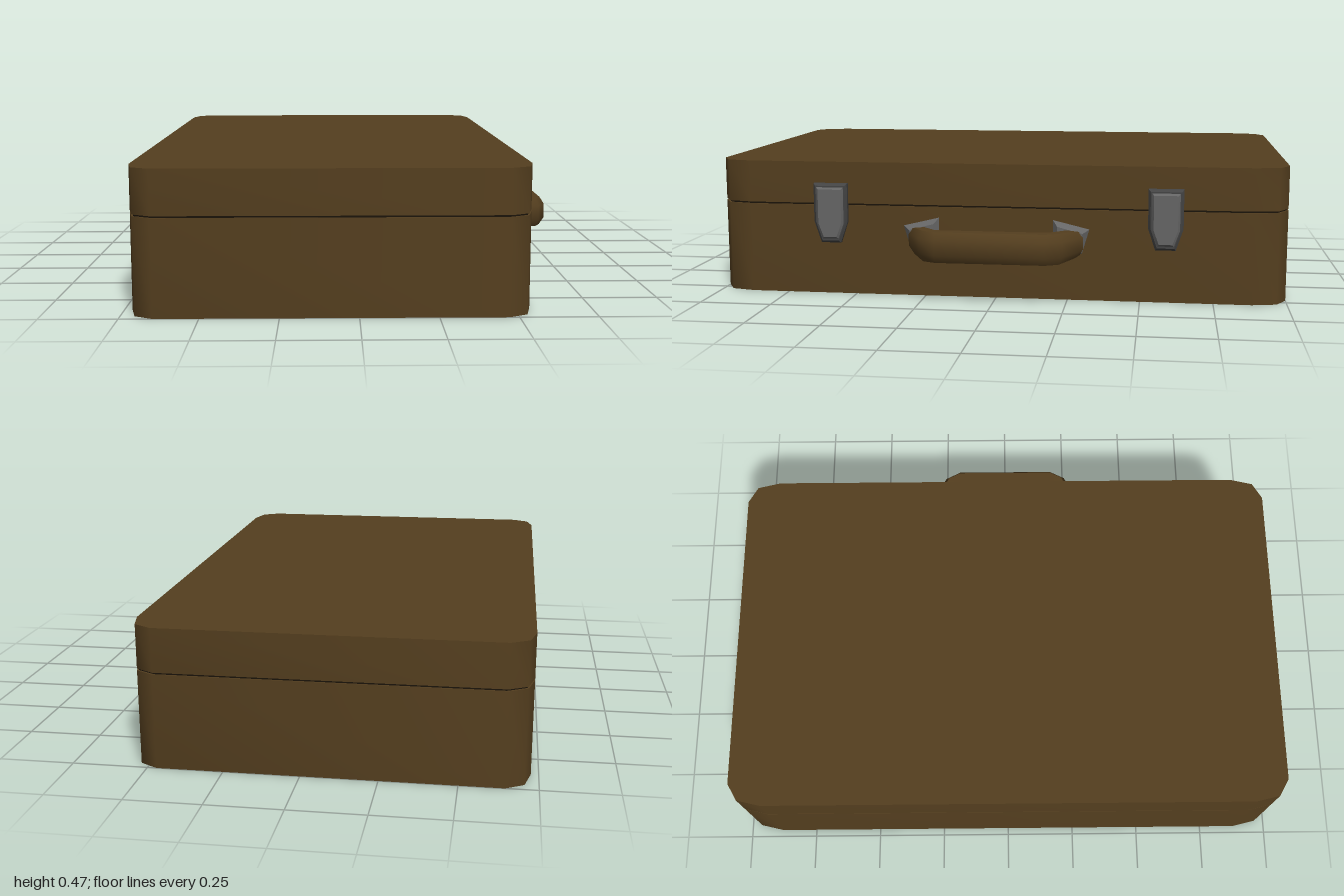
import * as THREE from 'three';
import { toCreasedNormals } from 'three/addons/utils/BufferGeometryUtils.js';

const leather = new THREE.MeshStandardMaterial({ color: 0x553f1f });
const seamDark = new THREE.MeshStandardMaterial({ color: 0x1a1309 });
const metal = new THREE.MeshStandardMaterial({ color: 0x666666 });
const darkMetal = new THREE.MeshStandardMaterial({ color: 0x444444 });

const FACE = 0.55, BACK = -0.725; // x of the handle side and the hinge side

function named(name, geometry, material) {
  const mesh = new THREE.Mesh(geometry, material);
  mesh.name = name;
  return mesh;
}

const shapeFrom = (points) => new THREE.Shape(points.map(([x, y]) => new THREE.Vector2(x, y)));

// Slab with clipped, softly shaded corners between two heights
function caseSlab(y0, y1, inset = 0) {
  const cx = (FACE + BACK) / 2, hx = (FACE - BACK) / 2 - inset, hz = 1 - inset;
  const corner = [[0, 0.12], [0.02, 0.035], [0.08, 0]];
  const pts = [];
  for (const [sx, sz] of [[1, 1], [-1, 1], [-1, -1], [1, -1]]) {
    const run = corner.map(([dx, dz]) => [cx + sx * (hx - dx), sz * (hz - dz)]);
    pts.push(...(sx * sz > 0 ? run : run.reverse()));
  }
  const geo = new THREE.ExtrudeGeometry(shapeFrom(pts), { depth: y1 - y0, bevelEnabled: false });
  geo.rotateX(-Math.PI / 2).translate(0, y0, 0);
  return toCreasedNormals(geo, 1.0);
}

// Bevelled plate on the handle side; outline given as [z, y]
function plate(outline, x0, x1, bevel) {
  const geo = new THREE.ExtrudeGeometry(shapeFrom(outline.map(([z, y]) => [-z, y])), {
    depth: x1 - x0 - 2 * bevel, bevelThickness: bevel, bevelSize: bevel,
    bevelOffset: -bevel, bevelSegments: 1,
  });
  geo.rotateY(Math.PI / 2).translate(x0 + bevel, 0, 0);
  return toCreasedNormals(geo, 0.6);
}

// Latch: dark backing frame with a raised tapered clasp
function latch(z) {
  const group = new THREE.Group();
  group.name = 'latch';
  const outline = (w, top, mid, low, tip) =>
    [[-w, top], [-w, mid], [-tip, low], [tip, low], [w, mid], [w, top]];
  group.add(
    named('latchFrame', plate(outline(0.06, 0.395, 0.26, 0.185, 0.035), 0.54, 0.572, 0.008), darkMetal),
    named('latchClasp', plate(outline(0.048, 0.382, 0.255, 0.2, 0.028), 0.55, 0.58, 0.007), metal),
  );
  group.position.z = z;
  return group;
}

// Handle: octagonal section swept along a bent path [x, z, halfThickness, halfHeight]
function handleGeometry() {
  const half = [
    [0.556, 0.28, 0.029, 0.04],
    [0.58, 0.265, 0.033, 0.046],
    [0.667, 0.215, 0.037, 0.0525],
    [0.682, 0.185, 0.0375, 0.0525],
  ];
  const path = [...half, ...half.slice().reverse().map(([x, z, a, b]) => [x, -z, a, b])];
  const section = [[1, -0.5], [1, 0.5], [0.55, 1], [-0.55, 1], [-1, 0.5], [-1, -0.5], [-0.55, -1], [0.55, -1]];
  const n = section.length, pos = [], index = [];
  path.forEach(([x, z, a, b], i) => {
    const p = path[Math.max(i - 1, 0)], q = path[Math.min(i + 1, path.length - 1)];
    const t = new THREE.Vector2(q[0] - p[0], q[1] - p[1]).normalize();
    for (const [u, v] of section) pos.push(x - t.y * u * a, 0.2025 + v * b, z + t.x * u * a);
    if (i === path.length - 1) return;
    for (let j = 0; j < n; j++) {
      const k = (j + 1) % n, r = i * n;
      index.push(r + j, r + n + j, r + k, r + n + j, r + n + k, r + k);
    }
  });
  const geo = new THREE.BufferGeometry();
  geo.setAttribute('position', new THREE.Float32BufferAttribute(pos, 3));
  geo.setIndex(index);
  return toCreasedNormals(geo.toNonIndexed(), 0.9);
}

export function createModel() {
  const model = new THREE.Group();
  model.name = 'briefcase';

  // Case halves with a dark recessed seam
  model.add(
    named('caseBase', caseSlab(0, 0.317), leather),
    named('seam', caseSlab(0.31, 0.33, 0.005), seamDark),
    named('caseLid', caseSlab(0.323, 0.47), leather),
  );

  // Latches and handle mounts, mirrored front to back
  for (const s of [1, -1]) {
    model.add(latch(s * 0.585));
    const mount = [[0.325, 0.25], [0.2, 0.28], [0.2, 0.15], [0.3, 0.165]].map(([z, y]) => [s * z, y]);
    model.add(named('handleMount', plate(mount, 0.535, 0.573, 0.018), metal));
  }

  model.add(named('handle', handleGeometry(), leather));
  return model;
}
